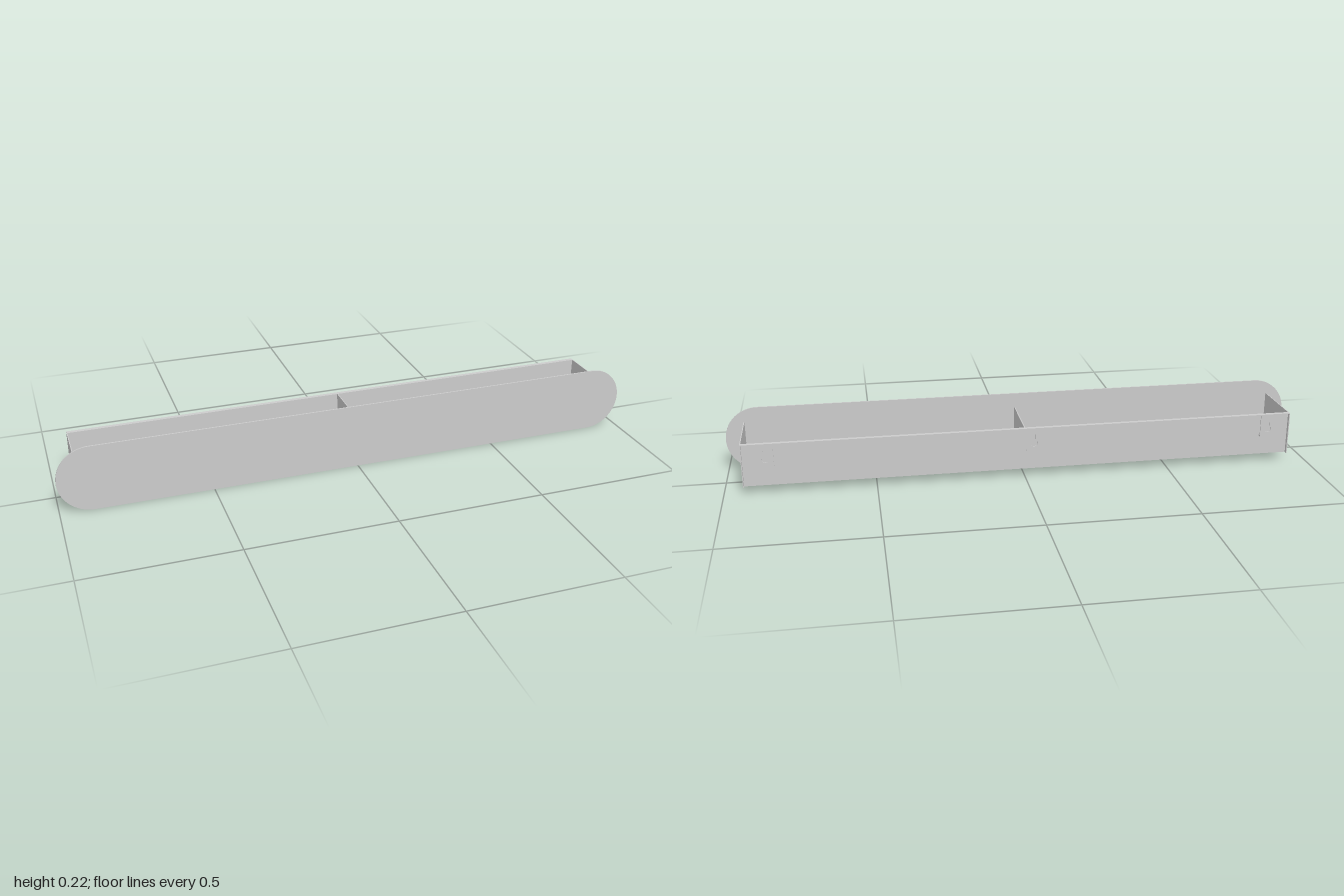
import * as THREE from 'three';

const T = 0.003; // sheet thickness
const BOTTOM = 0.027, TOP = 0.175, BACK = -0.115, FRONT = 0.111, HALF = 0.936;

export function createModel() {
  const group = new THREE.Group();
  const material = new THREE.MeshStandardMaterial({ color: 0xcccccc, side: THREE.DoubleSide });

  function add(name, geometry, parent = group) {
    const mesh = new THREE.Mesh(geometry, material);
    mesh.name = name;
    parent.add(mesh);
    return mesh;
  }
  // Box given by its minimum and maximum corners
  function box(name, x0, x1, y0, y1, z0, z1, parent) {
    const mesh = add(name, new THREE.BoxGeometry(x1 - x0, y1 - y0, z1 - z0), parent);
    mesh.position.set((x0 + x1) / 2, (y0 + y1) / 2, (z0 + z1) / 2);
    return mesh;
  }

  // Front panel with fully rounded ends
  const r = 0.1125;
  const outline = new THREE.Shape();
  outline.absarc(1 - r, r, r, -Math.PI / 2, Math.PI / 2, false);
  outline.absarc(-1 + r, r, r, Math.PI / 2, Math.PI * 1.5, false);
  outline.closePath();
  const front = add('frontPanel', new THREE.ExtrudeGeometry(outline, {
    depth: 0.005, bevelEnabled: false, curveSegments: 32,
  }));
  front.position.z = FRONT - 0.0005;

  // End panels and middle divider
  for (const [name, s] of [['leftEndPanel', 1], ['rightEndPanel', -1]]) {
    const x = s * (HALF - T / 2);
    box(name, x - T / 2, x + T / 2, BOTTOM, TOP, BACK, FRONT);
  }
  const inset = BACK + 0.014;
  box('middleDivider', -T / 2, T / 2, BOTTOM + T, TOP, inset, FRONT);

  // Back panel, set in, with a flange turned out along its top
  const inner = HALF - T;
  box('backPanel', -inner, inner, BOTTOM, TOP, inset - T, inset);
  box('topFlange', -inner, inner, TOP - T, TOP, BACK, inset);

  // Two floor slats
  for (const [z0, z1] of [[-0.072, -0.011], [0.02, 0.081]]) {
    box('floorSlat', -inner, inner, BOTTOM, BOTTOM + T, z0, z1);
  }

  // Hanging brackets: keyhole plate with a lip returning to the back panel
  const w = 0.026, h = 0.08;
  const plate = new THREE.Shape();
  plate.moveTo(-w, 0);
  plate.lineTo(w, 0);
  plate.lineTo(w, h);
  plate.lineTo(-w, h);
  plate.closePath();
  const keyhole = new THREE.Path();
  const big = 0.013, small = 0.006, low = 0.028, high = 0.055;
  const a = Math.asin(small / big);
  keyhole.absarc(0, high, small, 0, Math.PI, false);
  keyhole.absarc(0, low, big, Math.PI / 2 + a, Math.PI * 2.5 - a, false);
  keyhole.closePath();
  plate.holes.push(keyhole);
  const plateGeometry = new THREE.ExtrudeGeometry(plate, {
    depth: T, bevelEnabled: false, curveSegments: 16,
  });
  for (const x of [-0.857, -0.03, 0.857]) {
    const bracket = new THREE.Group();
    bracket.name = 'hangingBracket';
    bracket.position.set(x, TOP - h, 0);
    group.add(bracket);
    add('keyholePlate', plateGeometry, bracket).position.z = BACK;
    box('bracketLip', -w, w, 0, T, BACK + T, inset - T, bracket);
  }
  return group;
}
